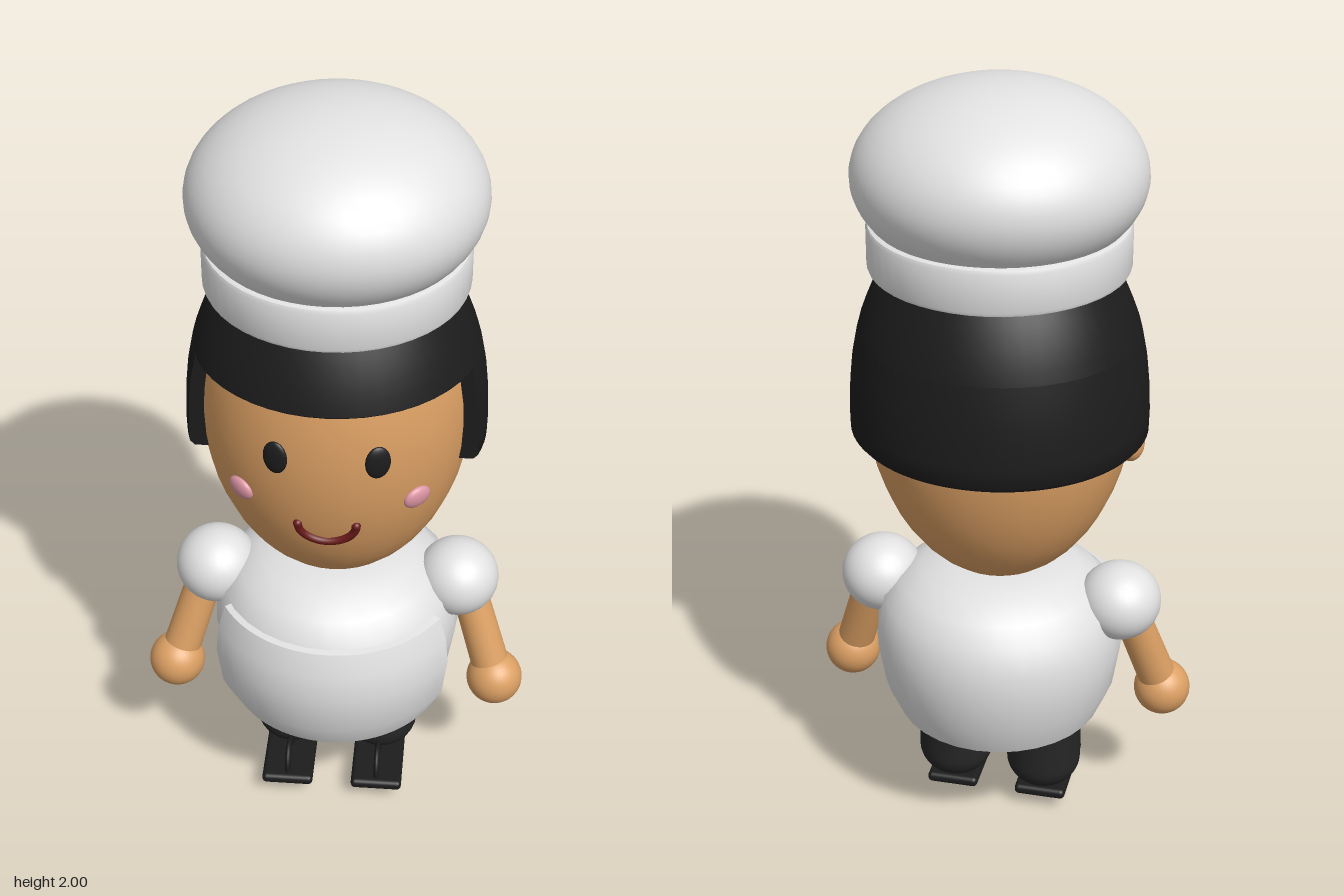
import * as THREE from 'three';
import { toCreasedNormals } from 'three/addons/utils/BufferGeometryUtils.js';
import { RoundedBoxGeometry } from 'three/addons/geometries/RoundedBoxGeometry.js';

const paint = (name, color, extra = {}) => new THREE.MeshStandardMaterial({ name, color, ...extra });
const vecs = pts => pts.map(([r, y]) => new THREE.Vector2(r, y));
const lathe = (pts, segs = 48, start = 0, len = Math.PI * 2) =>
  toCreasedNormals(new THREE.LatheGeometry(vecs(pts), segs, start, len), 0.7);

// Egg-shaped head: radii in x and z, and a helper for its front surface
const HEAD = { x: 0.333, y: 0.5, z: 0.32, cy: 1.22 };
const headRadius = y => HEAD.z * Math.sqrt(Math.max(0, 1 - ((y - HEAD.cy) / HEAD.y) ** 2));
const faceZ = (x, y) => HEAD.z * Math.sqrt(1 - (x / HEAD.x) ** 2 - ((y - HEAD.cy) / HEAD.y) ** 2);
const faceNormal = (x, y) => new THREE.Vector3(
  x / HEAD.x ** 2, (y - HEAD.cy) / HEAD.y ** 2, faceZ(x, y) / HEAD.z ** 2).normalize();

// Closed hair profile: outer edge upwards, then back down along the head
const hairProfile = outer => [
  ...outer, ...outer.map(([, y]) => [headRadius(y) - 0.004, y]).reverse()];

// Hair swept round the back of the head, cut flat at z = cut
function sideHairGeometry(outer, cut, segs = 48) {
  const ring = hairProfile(outer), n = ring.length, pos = [], idx = [];
  for (let i = 0; i <= segs; i++) for (const [r, y] of ring) {
    const a = Math.acos(cut / r), t = a + (i / segs) * 2 * (Math.PI - a);
    pos.push(r * Math.sin(t), y, r * Math.cos(t));
  }
  for (let i = 0; i < segs; i++) for (let j = 0; j < n; j++) {
    const k = (j + 1) % n, a = i * n + j, b = a + n, c = (i + 1) * n + k, d = i * n + k;
    idx.push(a, b, d, c, d, b);
  }
  const end = segs * n;
  for (let j = 0; j < n / 2 - 1; j++) {
    const o = j, p = j + 1, q = n - 2 - j, r = n - 1 - j;
    idx.push(o, p, q, o, q, r, end + o, end + q, end + p, end + o, end + r, end + q);
  }
  const g = new THREE.BufferGeometry();
  g.setAttribute('position', new THREE.Float32BufferAttribute(pos, 3));
  g.setIndex(idx);
  return toCreasedNormals(g, 0.7);
}

export function createModel() {
  const model = new THREE.Group();
  model.name = 'cook';
  const white = paint('white cloth', 0xe2e2e2, { side: THREE.DoubleSide });
  const skin = paint('skin', 0xdca064);
  const black = paint('black', 0x1c1c1c);
  const trousers = paint('trousers', 0x262626);
  const pink = paint('blush pink', 0xdc96a4);
  const red = paint('mouth red', 0x6a1a1a);

  const add = (name, geometry, material, x = 0, y = 0, z = 0) => {
    const m = new THREE.Mesh(geometry, material);
    m.name = name;
    m.position.set(x, y, z);
    model.add(m);
    return m;
  };
  const ball = (name, material, p, rx, ry = rx, rz = rx) => {
    const m = add(name, new THREE.SphereGeometry(1, 32, 24), material, ...p);
    m.scale.set(rx, ry, rz);
    return m;
  };

  // Head
  ball('head', skin, [0, HEAD.cy, 0], HEAD.x, HEAD.y, HEAD.z);

  // Hair: long round the sides and back, short fringe over the face
  const sideHair = add('sideHair', sideHairGeometry(
    [[0.342, 1.12], [0.352, 1.132], [0.353, 1.18], [0.35, 1.25], [0.343, 1.32], [0.331, 1.385]], 0.11), black);
  const fringeLoop = hairProfile(
    [[0.326, 1.38], [0.331, 1.385], [0.322, 1.42], [0.308, 1.46], [0.288, 1.51], [0.262, 1.56]]);
  const fringe = add('fringe', lathe([...fringeLoop, fringeLoop[0]]), black);
  sideHair.scale.x = fringe.scale.x = 1.045;

  // Hat
  add('hatBand', lathe([[0, 1.55], [0.305, 1.55], [0.313, 1.554], [0.316, 1.562], [0.316, 1.655],
    [0.312, 1.664], [0.3, 1.668], [0, 1.668]]), white);
  const puff = [[0, 1.66], [0.295, 1.66]];
  for (let i = 0; i <= 7; i++) {
    const a = -0.56 + i * 0.08;
    puff.push([0.351 * Math.cos(a), 1.78 + 0.22 * Math.sin(a)]);
  }
  for (let i = 1; i <= 16; i++) {
    const a = (i / 16) * Math.PI / 2;
    puff.push([0.351 * Math.cos(a), 1.78 + 0.22 * Math.sin(a)]);
  }
  add('hatPuff', lathe(puff), white);

  // Smile, following the surface of the face
  const smile = [];
  for (let i = 0; i <= 12; i++) {
    const a = Math.PI * (1 + i / 12), x = 0.07 * Math.cos(a), y = 1.04 + 0.058 * Math.sin(a);
    smile.push(new THREE.Vector3(x, y, faceZ(x, y)));
  }
  add('mouth', new THREE.TubeGeometry(new THREE.CatmullRomCurve3(smile), 32, 0.011, 10), red);
  for (const i of [0, 12]) ball('mouthEnd', red, smile[i].toArray(), 0.011);

  // Torso
  add('torso', lathe([[0, 0.32], [0.265, 0.32], [0.3, 0.4], [0.318, 0.51], [0.315, 0.57], [0.298, 0.645],
    [0.255, 0.69], [0.2, 0.725], [0.13, 0.742], [0, 0.742]], 32), white);

  // Apron wrapped round the front
  add('apron', lathe([[0.2, 0.305], [0.288, 0.305], [0.328, 0.385], [0.343, 0.5], [0.335, 0.575],
    [0.315, 0.637], [0.285, 0.642]], 24, -1.06, 2.12), white);

  for (const s of [1, -1]) {
    const side = s > 0 ? 'left' : 'right';

    // Face details
    const flat = (name, material, x, y, rx, ry, rz) =>
      ball(name, material, [x, y, faceZ(x, y)], rx, ry, rz)
        .quaternion.setFromUnitVectors(new THREE.Vector3(0, 0, 1), faceNormal(x, y));
    flat(side + 'Eye', black, s * 0.12, 1.24, 0.031, 0.044, 0.012);
    flat(side + 'Cheek', pink, s * 0.21, 1.095, 0.037, 0.031, 0.016);
    ball(side + 'Ear', skin, [s * 0.33, 1.11, 0], 0.033, 0.046, 0.044);

    // Sleeve, arm and hand
    ball(side + 'Sleeve', white, [s * 0.313, 0.655, 0.003], 0.106, 0.1, 0.108);
    const from = new THREE.Vector3(s * 0.335, 0.64, 0), to = new THREE.Vector3(s * 0.422, 0.365, 0.066);
    const arm = add(side + 'Arm', new THREE.CylinderGeometry(0.046, 0.05, from.distanceTo(to), 24), skin);
    arm.position.lerpVectors(from, to, 0.5);
    arm.quaternion.setFromUnitVectors(new THREE.Vector3(0, 1, 0), from.clone().sub(to).normalize());
    ball(side + 'Hand', skin, to.toArray(), 0.073);

    // Leg with rounded foot end
    const leg = [];
    for (let i = 0; i <= 10; i++) {
      const a = (i / 10) * Math.PI / 2;
      leg.push([0.098 * Math.sin(a), 0.145 - 0.085 * Math.cos(a)]);
    }
    add(side + 'Leg', lathe([...leg, [0.098, 0.35], [0, 0.35]], 32), trousers, s * 0.12, 0, 0.003);

    // Sandal: flat sole and upright ring strap
    add(side + 'Sole', new RoundedBoxGeometry(0.136, 0.028, 0.25, 3, 0.012), black, s * 0.12, 0.051, 0.07);
    const strap = add(side + 'Strap', new THREE.TorusGeometry(0.051, 0.013, 12, 32), black, s * 0.12, 0.064, 0.115);
    strap.rotation.y = Math.PI / 2;
    strap.scale.z = 0.6;
  }
  return model;
}
